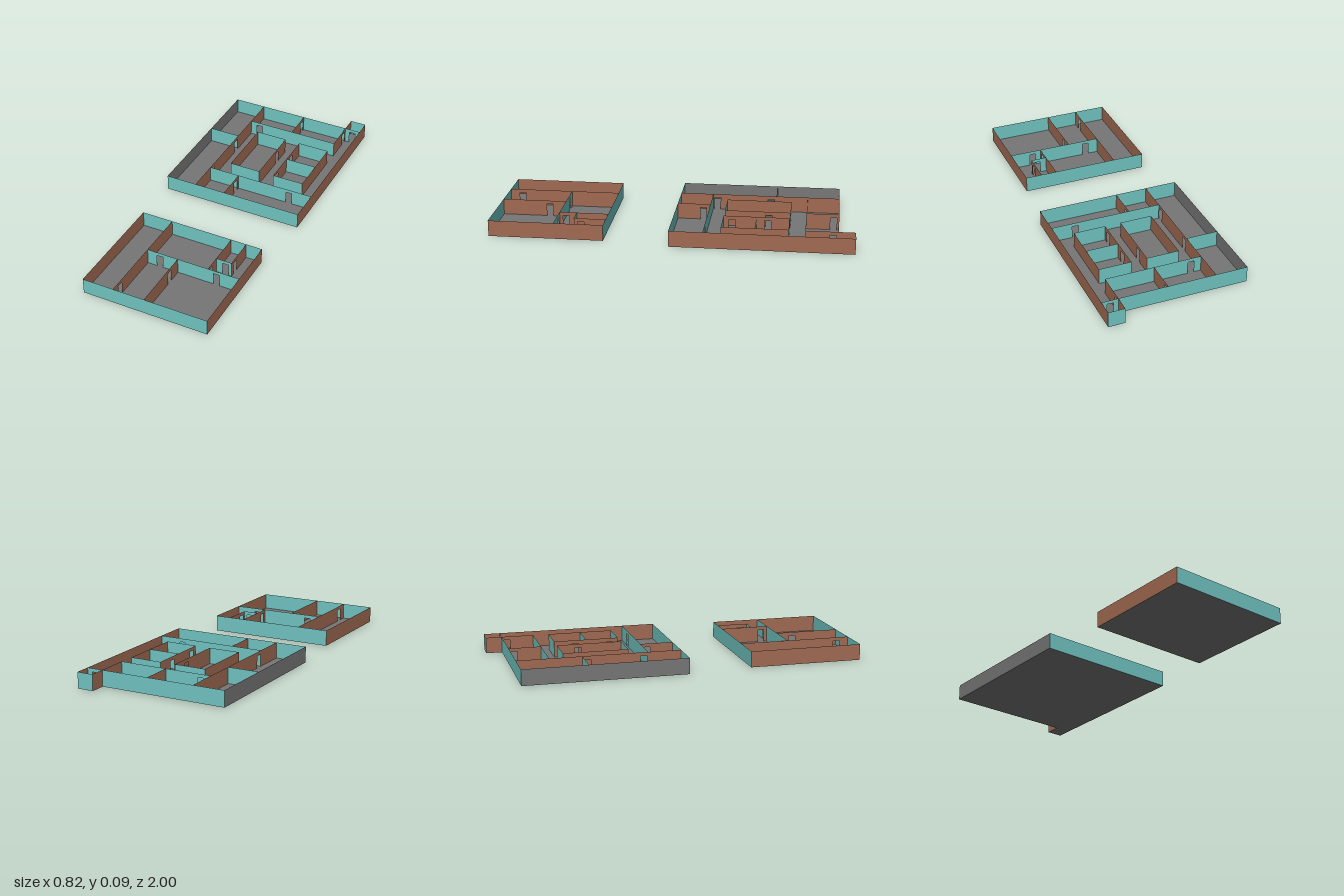
import * as THREE from 'three';

const HEIGHT = 0.09;
const DOOR_HEIGHT = 0.07;
const DOOR_WIDTH = 0.036;

export function createModel() {
  const flat = (name, color) => {
    const m = new THREE.MeshStandardMaterial({ color, side: THREE.DoubleSide });
    m.name = name;
    return m;
  };
  const teal = flat('teal', 0x70c4c1);
  const brown = flat('brown', 0xa06a52);
  const grey = flat('grey', 0x767676);

  // Thin wall from a to b with doorways cut up from the floor at the given positions
  const wallGeometry = (a, b, doors) => {
    const s = new THREE.Shape();
    s.moveTo(a, 0);
    for (const d of [...doors].sort((p, q) => p - q)) {
      const l = d - DOOR_WIDTH / 2, r = d + DOOR_WIDTH / 2;
      s.lineTo(l, 0);
      s.lineTo(l, DOOR_HEIGHT);
      s.lineTo(r, DOOR_HEIGHT);
      s.lineTo(r, 0);
    }
    s.lineTo(b, 0);
    s.lineTo(b, HEIGHT);
    s.lineTo(a, HEIGHT);
    s.closePath();
    return new THREE.ShapeGeometry(s);
  };

  // Wall running along x at depth z
  const crossWall = (group, name, z, x0, x1, doors = []) => {
    const mesh = new THREE.Mesh(wallGeometry(x0, x1, doors), teal);
    mesh.position.z = z;
    mesh.name = name;
    group.add(mesh);
  };

  // Wall running along z at position x
  const longWall = (group, name, x, z0, z1, doors = [], material = brown) => {
    const geo = wallGeometry(-z1, -z0, doors.map((d) => -d));
    geo.rotateY(Math.PI / 2);
    const mesh = new THREE.Mesh(geo, material);
    mesh.position.x = x;
    mesh.name = name;
    group.add(mesh);
  };

  // Floor from an outline of [x, z] corners
  const floor = (group, corners) => {
    const shape = new THREE.Shape(corners.map(([x, z]) => new THREE.Vector2(x, -z)));
    const geo = new THREE.ShapeGeometry(shape);
    geo.rotateX(-Math.PI / 2);
    const mesh = new THREE.Mesh(geo, grey);
    mesh.name = 'floor';
    group.add(mesh);
  };

  const model = new THREE.Group();
  model.name = 'floorPlan';

  // Large rear storey
  const rear = new THREE.Group();
  rear.name = 'largeStorey';
  const W = 0.409, N = 0.317, B = -0.91;
  floor(rear, [[-W, 0], [W, 0], [W, -1], [N, -1], [N, B], [-W, B]]);
  crossWall(rear, 'frontOuterWall', 0, -W, W);
  crossWall(rear, 'backOuterWall', B, -W, N);
  crossWall(rear, 'alcoveBackWall', -1, N, W);
  crossWall(rear, 'alcoveInnerWall', B, N, W, [0.362]);
  longWall(rear, 'alcoveSideWall', N, -1, B);
  longWall(rear, 'leftOuterWall', W, -1, 0);
  longWall(rear, 'rightOuterWall', -W, B, 0, [], grey);
  // Side strip and rear rooms
  longWall(rear, 'stripWall', -0.228, B, 0, [-0.52, -0.21]);
  crossWall(rear, 'stripDivider', -0.55, -W, -0.228);
  crossWall(rear, 'corridorBackWall', -0.73, -0.228, N, [-0.17]);
  longWall(rear, 'rearRoomDivider', 0.042, B, -0.73, [-0.88]);
  longWall(rear, 'rearRoomEnd', N, B, -0.73, [-0.88]);
  // Two central room blocks
  const z0 = -0.64, z1 = -0.275;
  for (const [name, x0, x1] of [['right', -0.14, 0.042], ['left', 0.132, 0.314]]) {
    crossWall(rear, name + 'CoreBackWall', z0, x0, x1);
    crossWall(rear, name + 'CoreFrontWall', z1, x0, x1);
    longWall(rear, name + 'CoreSideA', x0, z0, z1, name === 'left' ? [-0.52, -0.32] : []);
    longWall(rear, name + 'CoreSideB', x1, z0, z1, name === 'right' ? [-0.52] : []);
  }
  crossWall(rear, 'leftCoreDivider', -0.458, 0.132, 0.314);
  // Front rooms
  crossWall(rear, 'corridorFrontWall', -0.185, -0.228, W, [0.272]);
  longWall(rear, 'frontRoomDivider', -0.047, -0.185, 0, [-0.146]);
  model.add(rear);

  // Small front storey
  const front = new THREE.Group();
  front.name = 'smallStorey';
  const L = 0.363, F = 0.363;
  floor(front, [[-L, 1], [L, 1], [L, F], [-L, F]]);
  crossWall(front, 'frontOuterWall', 1, -L, L);
  crossWall(front, 'backOuterWall', F, -L, L);
  longWall(front, 'leftOuterWall', L, F, 1);
  longWall(front, 'rightOuterWall', -L, F, 1);
  longWall(front, 'stripWall', -0.182, F, 1, [0.93]);
  crossWall(front, 'middleWall', 0.637, -0.182, L, [-0.108, 0.23]);
  longWall(front, 'frontRoomDivider', 0, 0.637, 1, [0.73]);
  longWall(front, 'smallRoomWall', 0.18, F, 0.637, [0.6]);
  longWall(front, 'closetDivider', 0.27, F, 0.54, [0.5]);
  crossWall(front, 'closetFrontWall', 0.54, 0.18, 0.27, [0.235]);
  model.add(front);

  return model;
}
